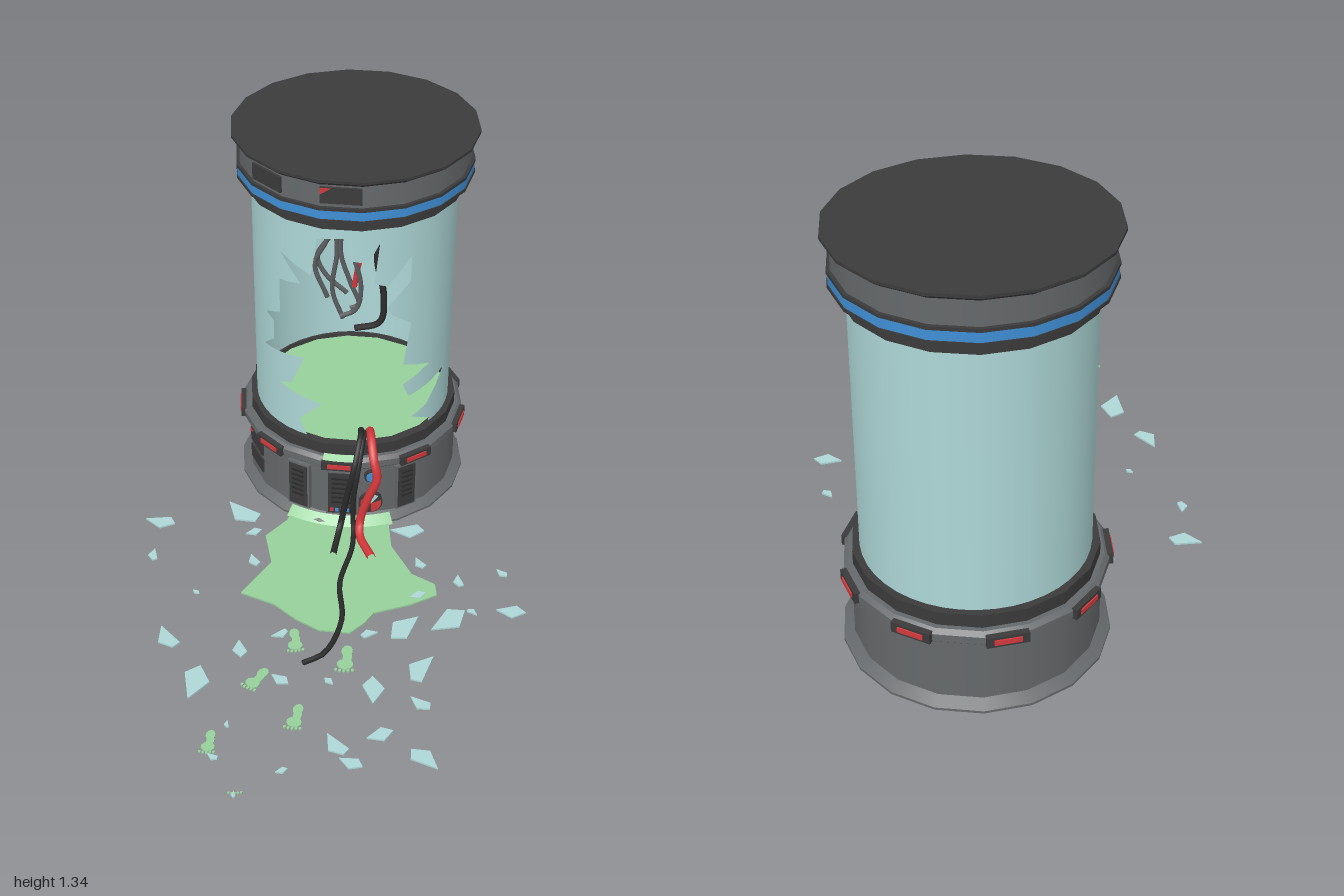
import * as THREE from 'three';
import { mergeGeometries, toCreasedNormals } from 'three/addons/utils/BufferGeometryUtils.js';

const CZ = -0.609, SIDES = 18, RAD = Math.PI / 180, GLASS_R = 0.334;

function mat(name, color, double = true) {
  const m = new THREE.MeshStandardMaterial({ color, side: double ? THREE.DoubleSide : THREE.FrontSide });
  m.name = name;
  return m;
}

export function createModel() {
  const M = {
    metal: mat('grey metal', 0x66696b), dark: mat('dark metal', 0x3b3b3c),
    glass: mat('pale glass', 0xaed7d7), blue: mat('blue light', 0x3f8fd6),
    red: mat('red', 0xd6393c), liquid: mat('green liquid', 0x96d09a),
    murk: mat('olive liquid', 0x9db400), cable: mat('black rubber', 0x2a2a2b),
    wire: mat('grey wire', 0x5c5d60),
  };
  const root = new THREE.Group();
  const tank = new THREE.Group();
  tank.name = 'tank';
  tank.position.z = CZ;
  root.add(tank);

  const add = (parent, name, geo, material) => {
    const mesh = new THREE.Mesh(geo, material);
    mesh.name = name;
    parent.add(mesh);
    return mesh;
  };

  // Ring from a profile (radius, height), smooth around and sharp at each corner
  const ring = (name, material, profile) => {
    const bands = [];
    for (let i = 1; i < profile.length; i++) {
      const pair = [profile[i - 1], profile[i]].map(p => new THREE.Vector2(p[0], p[1]));
      bands.push(new THREE.LatheGeometry(pair, SIDES, 10 * RAD));
    }
    return add(tank, name, mergeGeometries(bands), material);
  };

  // Base shell, open underneath
  ring('baseFoot', M.metal, [[0.365, 0.012], [0.396, 0.012], [0.396, 0.02], [0.363, 0.04]]);
  ring('baseShell', M.metal, [[0.363, 0.03], [0.363, 0.24]]);
  ring('lampRing', M.metal, [[0.355, 0.24], [0.372, 0.24], [0.385, 0.252], [0.385, 0.276], [0.372, 0.288], [0.35, 0.288]]);
  ring('lowerSeal', M.dark, [[0.322, 0.285], [0.358, 0.285], [0.358, 0.33], [0.328, 0.33], [0.322, 0.285]]);
  // Head
  ring('upperSeal', M.dark, [[0.32, 1.15], [0.356, 1.15], [0.356, 1.188]]);
  ring('haloLower', M.dark, [[0.35, 1.188], [0.383, 1.188], [0.383, 1.198]]);
  ring('haloLight', M.blue, [[0.38, 1.198], [0.38, 1.228]]);
  ring('haloUpper', M.dark, [[0.383, 1.228], [0.383, 1.238], [0.36, 1.238]]);
  ring('headShell', M.metal, [[0.372, 1.235], [0.372, 1.312]]);
  ring('cap', M.dark, [[0.371, 1.31], [0.396, 1.328], [0.396, 1.337], [0, 1.337]]);
  ring('ceiling', M.dark, [[0, 1.155], [0.35, 1.155]]);

  // Remaining liquid: green above, murky below
  ring('liquidSurface', M.liquid, [[0.327, 0.316], [0, 0.316]]);
  ring('liquidUnderside', M.murk, [[0, 0.298], [0.327, 0.298]]);

  // Glass: back wall plus a front wall with a jagged hole
  const arc = 1.4;
  add(tank, 'glassBack', new THREE.CylinderGeometry(GLASS_R, GLASS_R, 0.84, 24, 1, true, arc, 2 * Math.PI - 2 * arc)
    .translate(0, 0.74, 0), M.glass);
  const wall = new THREE.Shape([[-arc, 0.32], [arc, 0.32], [arc, 1.16], [-arc, 1.16]].map(p => new THREE.Vector2(...p)));
  const hole = [
    [-0.08, 1.1], [0.01, 1.11], [0.03, 1.03], [0.08, 1.02], [0.115, 1.09], [0.1, 0.945], [0.14, 0.93], [0.21, 1.02],
    [0.21, 0.93], [0.14, 0.85], [0.155, 0.82], [0.215, 0.77], [0.195, 0.615], [0.275, 0.575], [0.195, 0.535],
    [0.215, 0.48], [0.318, 0.51], [0.27, 0.41], [0.225, 0.39], [0.28, 0.345], [0.28, 0.325], [-0.115, 0.325],
    [-0.145, 0.39], [-0.065, 0.47], [-0.215, 0.5], [-0.17, 0.525], [-0.125, 0.64], [-0.275, 0.61], [-0.235, 0.66],
    [-0.235, 0.73], [-0.265, 0.745], [-0.21, 0.78], [-0.21, 0.905], [-0.135, 0.92], [-0.205, 1.01], [-0.1, 0.96],
  ];
  wall.holes.push(new THREE.Path(hole.map(([x, y]) => new THREE.Vector2(Math.asin(x / GLASS_R), y))));
  add(tank, 'glassFront', wrap(new THREE.ShapeGeometry(wall), GLASS_R), M.glass);

  // Puts a part on the wall at an angle from the front
  const onWall = (name, geo, material, deg, r, y, dx = 0) => {
    const mesh = add(tank, name, geo.translate(dx, 0, r), material);
    mesh.rotation.y = deg * RAD;
    mesh.position.y = y;
    return mesh;
  };
  const box = (w, h, d) => new THREE.BoxGeometry(w, h, d);

  // Lamps around the base
  for (let a = 0; a < 360; a += 40) {
    onWall('lampHousing', box(0.12, 0.034, 0.03), M.dark, a, 0.377, 0.264);
    onWall('lamp', box(0.078, 0.016, 0.008), M.red, a, 0.392, 0.264);
  }

  // Panels with slatted vents
  for (const [deg, w] of [[-23, 0.084], [1.5, 0.112], [36.5, 0.08]]) {
    onWall('panelFrame', box(w, 0.184, 0.03), M.metal, deg, 0.357, 0.137);
    onWall('panelFace', box(w - 0.014, 0.17, 0.008), M.dark, deg, 0.371, 0.137);
    for (let i = 0; i < 6; i++)
      onWall('slat', box(w - 0.04, 0.006, 0.008), M.cable, deg, 0.375, 0.1 + i * 0.02);
  }
  for (let i = 0; i < 5; i++)
    onWall('button', box(0.012, 0.012, 0.008), i % 2 ? M.blue : M.red, 1.5, 0.376, 0.067, -0.036 + i * 0.018);

  // Small screens on the base and windows in the head, with a red corner flag
  const flag = (deg, r, y, dx) => {
    const s = new THREE.Shape([[0, 0], [0, -0.022], [0.035, 0]].map(p => new THREE.Vector2(...p)));
    onWall('warningFlag', new THREE.ShapeGeometry(s), M.red, deg, r, y, dx);
  };
  for (const y of [0.185, 0.112]) onWall('screen', box(0.11, 0.055, 0.02), M.dark, -60, 0.354, y);
  flag(-60, 0.366, 0.212, -0.055);
  for (const a of [-40, 0]) onWall('headWindow', box(0.128, 0.054, 0.02), M.dark, a, 0.364, 1.278);
  flag(0, 0.376, 1.304, -0.064);

  // Gauge and blue knob
  const disc = (r, d, start = 0, len = 2 * Math.PI) =>
    new THREE.CylinderGeometry(r, r, d, 16, 1, false, start, len).rotateX(Math.PI / 2);
  onWall('gauge', disc(0.042, 0.03), M.dark, 16.5, 0.357, 0.092);
  onWall('gaugeRedSector', disc(0.036, 0.008, 0, 1.9), M.red, 16.5, 0.372, 0.092);
  onWall('gaugePaleSector', disc(0.036, 0.008, 2.4, 1.3), M.glass, 16.5, 0.372, 0.092);
  onWall('gaugeRedSector', disc(0.036, 0.008, 4.1, 0.9), M.red, 16.5, 0.372, 0.092);
  onWall('knobRim', disc(0.023, 0.03), M.dark, 16.5, 0.357, 0.205);
  onWall('knob', disc(0.017, 0.008), M.blue, 16.5, 0.373, 0.205);

  // Cables and hanging wires
  const tube = (name, material, r, pts) => add(root, name, new THREE.TubeGeometry(
    new THREE.CatmullRomCurve3(pts.map(p => new THREE.Vector3(...p))), 32, r, 7), material);
  tube('redCable', M.red, 0.015, [[0.09, 0.335, -0.34], [0.1, 0.352, -0.28], [0.115, 0.31, -0.22], [0.13, 0.24, -0.2],
    [0.1, 0.15, -0.2], [0.075, 0.05, -0.195], [0.08, 0.02, -0.16], [0.13, 0.016, -0.06]]);
  tube('blackCable', M.cable, 0.011, [[0.06, 0.335, -0.34], [0.065, 0.35, -0.28], [0.055, 0.28, -0.21], [0.03, 0.16, -0.2],
    [0.01, 0.04, -0.19], [0.004, 0.016, -0.15], [0, 0.014, -0.06]]);
  tube('longCable', M.cable, 0.009, [[0.075, 0.335, -0.33], [0.075, 0.345, -0.27], [0.065, 0.26, -0.205], [0.05, 0.12, -0.2],
    [0.055, 0.025, -0.185], [0.06, 0.016, -0.1], [0.04, 0.016, 0.08], [0.067, 0.014, 0.25], [0.03, 0.012, 0.4], [-0.03, 0.012, 0.45]]);
  const hanging = [
    [[-0.05, 1.15], [-0.06, 1.0], [-0.108, 0.91], [-0.08, 0.84], [-0.01, 0.775]],
    [[-0.06, 1.15], [-0.04, 0.95], [-0.055, 0.8], [-0.02, 0.695]],
    [[0.0, 1.15], [-0.025, 0.97], [0.005, 0.86], [0.035, 0.77], [0.01, 0.755]],
    [[0.01, 1.15], [0.015, 1.0], [0.045, 0.86], [0.03, 0.77], [-0.02, 0.74]],
    [[-0.08, 1.15], [-0.06, 1.05], [-0.1, 0.95], [-0.06, 0.83]],
  ];
  hanging.forEach((p, i) => tube('hangingWire', M.wire, 0.008, p.map(([x, y]) => [x, y, -0.5 + 0.03 * i])));
  tube('hangingRedWire', M.red, 0.009, [[0.03, 1.15, -0.45], [0.045, 1.0, -0.44], [0.03, 0.9, -0.43], [0.022, 0.845, -0.43]]);
  tube('hangingBlackWire', M.cable, 0.011, [[0.1, 1.15, -0.45], [0.095, 0.96, -0.42], [0.12, 0.84, -0.4], [0.11, 0.74, -0.39], [0.03, 0.71, -0.39]]);

  // Flat pieces lying on the floor, outlined in (x, z)
  const slab = (pts, h) => new THREE.ExtrudeGeometry(
    new THREE.Shape(pts.map(([x, z]) => new THREE.Vector2(x, -z))), { depth: h, bevelEnabled: false }).rotateX(-Math.PI / 2);
  const puddle = [[-0.16, -0.3], [-0.18, -0.22], [-0.24, -0.13], [-0.2, 0], [-0.275, 0.16], [-0.16, 0.2], [-0.08, 0.26],
    [0, 0.3], [0.1, 0.3], [0.14, 0.25], [0.165, 0.2], [0.28, 0.145], [0.36, 0.09], [0.35, 0.04], [0.27, 0],
    [0.19, -0.13], [0.16, -0.3]];
  add(root, 'puddle', slab(puddle, 0.006), M.liquid).position.y = 0.006;
  const spill = new THREE.CylinderGeometry(0.372, 0.405, 0.03, 12, 1, true, -0.47, 0.94);
  add(tank, 'spillOnFoot', spill, M.liquid).position.y = 0.024;
  add(tank, 'spillOnRim', new THREE.CylinderGeometry(0.362, 0.39, 0.016, 6, 1, true, -0.15, 0.32), M.liquid).position.y = 0.286;

  // Wet footprints walking away: x, z, turn, scale
  const blob = (parent, x, z, rx, rz) => {
    add(parent, 'printMark', new THREE.CylinderGeometry(1, 1, 0.004, 10).scale(rx, 1, rz), M.liquid).position.set(x, 0, z);
  };
  for (const [x, z, turn, s] of [[-0.07, 0.35, 0.2, 0.9], [0.1, 0.41, 0, 1], [-0.16, 0.53, -0.5, 0.9],
    [-0.02, 0.67, -0.1, 0.9], [-0.26, 0.8, 0, 0.8], [-0.155, 0.945, 0.1, 0.7]]) {
    const foot = new THREE.Group();
    foot.name = 'footprint';
    foot.position.set(x, 0.008, z);
    foot.rotation.y = turn;
    foot.scale.set(s, 1, s);
    if (z < 0.9) {
      blob(foot, 0, -0.03, 0.018, 0.025);
      blob(foot, 0.004, 0, 0.015, 0.035);
      blob(foot, 0, 0.027, 0.026, 0.022);
    }
    for (let i = 0; i < 5; i++) blob(foot, -0.026 + i * 0.013, 0.057 - Math.abs(i - 1.5) * 0.003, 0.005, 0.006);
    root.add(foot);
  }

  // Broken glass on the floor: x, z, size, turn
  const shards = [
    [-0.61, -0.16, 0.055, 1.4], [-0.34, -0.24, 0.075, 0.8], [-0.28, -0.14, 0.03, 2], [-0.6, 0.01, 0.03, 0], [-0.26, 0, 0.032, 0.4],
    [-0.42, 0.18, 0.015, 1], [-0.475, 0.39, 0.055, 0.5], [-0.345, 0.57, 0.075, 3], [-0.235, 0.42, 0.04, 0.2], [-0.12, 0.33, 0.03, 2],
    [-0.09, 0.53, 0.035, 1], [0.24, -0.21, 0.06, 1.6], [0.29, -0.06, 0.03, 0.5], [0.3, 0.1, 0.03, 2], [0.425, 0.02, 0.03, 0.1],
    [0.565, -0.045, 0.025, 0.8], [0.605, 0.14, 0.05, 1.5], [0.48, 0.16, 0.02, 4], [0.41, 0.2, 0.075, 2.3], [0.265, 0.255, 0.07, 5.6],
    [0.335, 0.43, 0.065, 5.7], [0.2, 0.53, 0.06, 3.2], [0.345, 0.575, 0.04, 0.9], [0.16, 0.3, 0.03, 5], [0.24, 0.71, 0.045, 2],
    [0.11, 0.77, 0.05, 0.6], [0.375, 0.79, 0.055, 4], [0.165, 0.83, 0.04, 1.2], [-0.22, 0.73, 0.014, 0], [-0.03, 0.89, 0.02, 2],
    [-0.155, 0.988, 0.012, 0], [-0.24, 0.86, 0.02, 1], [0.06, 0.52, 0.02, 4],
  ];
  shards.forEach(([x, z, s, turn], i) => {
    const k = 0.45 + 0.25 * Math.sin(i * 2.3);
    const mesh = add(root, 'glassShard', slab([[0, -s], [s * 0.6, s * k], [s * 0.1, s * 0.9], [-s * 0.55, s * 0.3 * k]], 0.006), M.glass);
    mesh.position.set(x, 0.004 + 0.004 * (i % 3), z);
    mesh.rotation.y = turn;
  });
  return root;
}

// Bends a flat (angle, height) sheet round a cylinder, halving wide edges first
function wrap(sheet, r) {
  const p = sheet.toNonIndexed().attributes.position;
  const pos = [], nor = [];
  const split = (a, b, c) => {
    const e = [[a, b, c], [b, c, a], [c, a, b]].sort((u, v) => Math.abs(v[0][0] - v[1][0]) - Math.abs(u[0][0] - u[1][0]))[0];
    const [u, v, w] = e;
    if (Math.abs(u[0] - v[0]) > 0.2) {
      const m = [(u[0] + v[0]) / 2, (u[1] + v[1]) / 2];
      split(u, m, w);
      split(m, v, w);
    } else for (const [t, y] of e) {
      pos.push(r * Math.sin(t), y, r * Math.cos(t));
      nor.push(Math.sin(t), 0, Math.cos(t));
    }
  };
  for (let i = 0; i < p.count; i += 3) split(...[0, 1, 2].map(k => [p.getX(i + k), p.getY(i + k)]));
  const g = new THREE.BufferGeometry();
  g.setAttribute('position', new THREE.Float32BufferAttribute(pos, 3));
  g.setAttribute('normal', new THREE.Float32BufferAttribute(nor, 3));
  return g;
}
